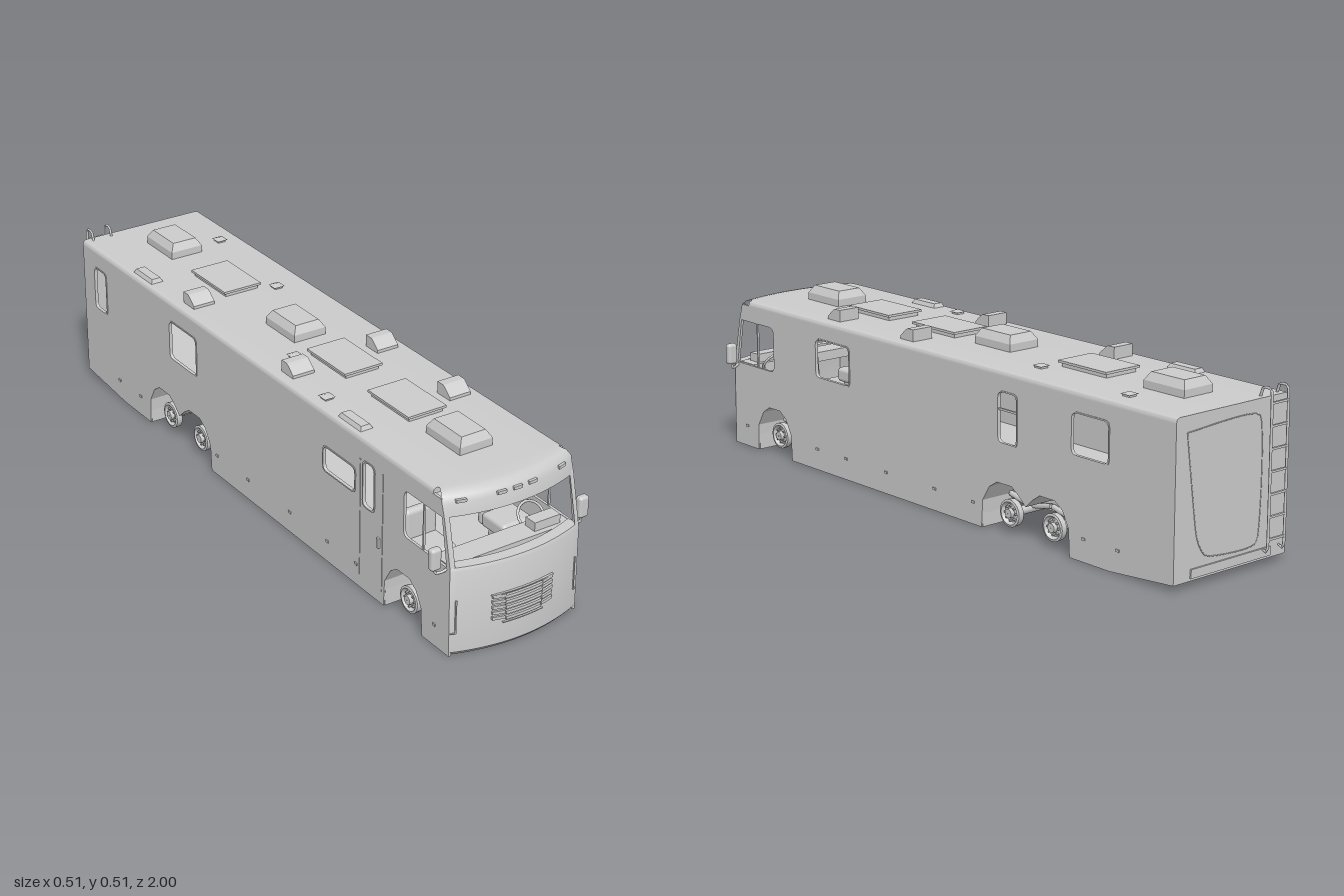
import * as THREE from 'three';
import { toCreasedNormals } from 'three/addons/utils/BufferGeometryUtils.js';
import { RoundedBoxGeometry } from 'three/addons/geometries/RoundedBoxGeometry.js';

const mat = new THREE.MeshStandardMaterial({ color: 0xcccccc, side: THREE.DoubleSide });
const HALF = 0.21, BACK = -0.975, ROOF = 0.465, FLOOR = 0.15;
const AXLES = [0.748, -0.32, -0.495];
const bow = x => 0.04 * (x / HALF) ** 2;

export function createModel() {
  const root = new THREE.Group();
  const add = (name, geo, x = 0, y = 0, z = 0) => {
    const m = new THREE.Mesh(geo, mat);
    m.name = name;
    m.position.set(x, y, z);
    root.add(m);
    return m;
  };
  const box = (name, w, h, d, x, y, z) => add(name, new THREE.BoxGeometry(w, h, d), x, y, z);
  const shapeOf = pts => new THREE.Shape(pts.map(p => new THREE.Vector2(...p)));
  const extrude = (shape, depth) => new THREE.ExtrudeGeometry(shape, { depth, bevelEnabled: false, curveSegments: 5 });
  // Extrudes a (z, y) outline across x, starting at x0
  const across = (shape, x0, w) => extrude(shape, w).rotateY(-Math.PI / 2).translate(x0 + w, 0, 0);
  const tube = (name, pts, r, seg = 16) => add(name, new THREE.TubeGeometry(
    new THREE.CatmullRomCurve3(pts.map(p => new THREE.Vector3(...p)), false, 'catmullrom', 0.2), seg, r, 6));

  // Rounded window opening
  const windowHole = (z0, z1, y0, y1, r = 0.018) => {
    const p = new THREE.Path();
    p.moveTo(z0 + r, y0).lineTo(z1 - r, y0).quadraticCurveTo(z1, y0, z1, y0 + r);
    p.lineTo(z1, y1 - r).quadraticCurveTo(z1, y1, z1 - r, y1).lineTo(z0 + r, y1);
    p.quadraticCurveTo(z0, y1, z0, y1 - r).lineTo(z0, y0 + r).quadraticCurveTo(z0, y0, z0 + r, y0);
    return p;
  };
  const cabHole = () => {
    const p = new THREE.Path();
    p.moveTo(0.765, 0.262).lineTo(0.935, 0.262).lineTo(0.91, 0.4).lineTo(0.765, 0.4);
    p.quadraticCurveTo(0.745, 0.4, 0.745, 0.38).lineTo(0.745, 0.282).quadraticCurveTo(0.745, 0.262, 0.765, 0.262);
    return p;
  };

  // Side walls with wheel arches and windows
  const frontArch = [[0.66, 0], [0.664, 0.08], [0.69, 0.125], [0.72, 0.145], [0.775, 0.145], [0.805, 0.125], [0.831, 0.08], [0.835, 0]];
  const rearArch = [[-0.585, 0], [-0.58, 0.08], [-0.555, 0.125], [-0.525, 0.145], [-0.465, 0.145], [-0.435, 0.125], [-0.408, 0.1],
    [-0.38, 0.125], [-0.35, 0.145], [-0.29, 0.145], [-0.258, 0.125], [-0.23, 0.08], [-0.225, 0]];
  const outline = [[BACK, 0.02], [-0.74, 0], ...rearArch, ...frontArch,
    [0.955, 0], [0.95, 0.265], [0.92, 0.4], [0.905, 0.45], [BACK, 0.45]];
  const openings = {
    leftWall: [[0.37, 0.53, 0.29, 0.405], [-0.37, -0.295, 0.262, 0.405], [-0.73, -0.59, 0.29, 0.405]],
    rightWall: [[0.37, 0.52, 0.285, 0.358], [0.56, 0.61, 0.265, 0.4], [-0.45, -0.3, 0.28, 0.4], [-0.905, -0.835, 0.265, 0.4]],
  };
  for (const [name, list] of Object.entries(openings)) {
    const s = shapeOf(outline);
    s.holes.push(cabHole(), ...list.map(w => windowHole(...w)));
    add(name, across(s, name === 'leftWall' ? HALF - 0.008 : -HALF, 0.008));
    // Slim frame standing proud around each window
    for (const [z0, z1, y0, y1] of list) {
      const f = new THREE.Shape(windowHole(z0 - 0.004, z1 + 0.004, y0 - 0.004, y1 + 0.004).getPoints(4));
      f.holes.push(windowHole(z0, z1, y0, y1));
      add('windowFrame', across(f, name === 'leftWall' ? HALF - 0.004 : -HALF - 0.002, 0.006));
    }
  }
  box('windowBar', 0.006, 0.006, 0.075, 0.206, 0.355, -0.333);
  box('cabWindowBar', 0.006, 0.14, 0.005, 0.206, 0.33, 0.83);
  box('cabWindowBar', 0.006, 0.14, 0.005, -0.206, 0.33, 0.83);

  // Roof with rounded long edges
  const roof = new THREE.Shape();
  roof.moveTo(-HALF, 0.448).lineTo(HALF, 0.448).lineTo(HALF, 0.45).quadraticCurveTo(HALF, ROOF, 0.195, ROOF);
  roof.lineTo(-0.195, ROOF).quadraticCurveTo(-HALF, ROOF, -HALF, 0.45);
  add('roof', toCreasedNormals(extrude(roof, 0.87 - BACK), 0.6), 0, 0, BACK);

  // Bowed front skin: rows of [y, z at centre, half width, bow factor]
  const skin = (name, rows, u0, u1, n) => {
    const pos = [], idx = [];
    rows.forEach(([y, z, hw, k], i) => {
      for (let j = 0; j <= n; j++) {
        const x = hw * (u0 + (u1 - u0) * j / n);
        pos.push(x, y, z - k * bow(x));
        if (i && j) {
          const c = i * (n + 1) + j, d = c - n - 1;
          idx.push(d - 1, d, c, d - 1, c, c - 1);
        }
      }
    });
    const g = new THREE.BufferGeometry();
    g.setAttribute('position', new THREE.Float32BufferAttribute(pos, 3));
    g.setIndex(idx);
    add(name, toCreasedNormals(g, 0.6));
  };
  skin('frontPanel', [[0.006, 0.96, 0.2, 1], [0, 0.985, HALF, 1], [0.012, 0.995, HALF, 1], [0.255, 0.993, HALF, 1], [0.265, 0.988, HALF, 1], [0.266, 0.955, 0.2, 1]], -1, 1, 20);
  for (const s of [-1, 1]) skin('windshieldPillar', [[0.264, 0.988, HALF, 1], [0.4, 0.957, HALF, 1]], s > 0 ? 0.93 : -1, s > 0 ? 1 : -0.93, 2);
  skin('frontHeader', [[0.4, 0.94, 0.205, 1], [0.4, 0.957, HALF, 1], [0.435, 0.95, HALF, 1], [0.452, 0.942, 0.209, 1], [0.462, 0.928, 0.203, 0.95], [ROOF, 0.91, 0.196, 0.9], [ROOF, 0.865, 0.195, 0]], -1, 1, 20);

  // Strips that follow the bow of the front
  const strip = (name, w, h, d, x, y, z) => {
    const g = new THREE.BoxGeometry(w, h, d, 8, 1, 1).translate(x, y, z);
    const p = g.attributes.position;
    for (let i = 0; i < p.count; i++) p.setZ(i, p.getZ(i) - bow(p.getX(i)));
    return add(name, g);
  };
  for (let i = 0; i < 5; i++) {
    const y = 0.158 - i * 0.0165;
    for (const s of [-1, 1]) {
      const outer = strip('grilleSlatEnd', 0.038, 0.009, 0.008, s * 0.079, y, 0.996);
      outer.geometry.applyMatrix4(new THREE.Matrix4().makeShear(s * 0.1, 0, 0, 0, 0, 0)).translate(0, -0.006, 0);
    }
    strip('grilleSlat', 0.122 - i * 0.002, 0.009, 0.01, 0, y - 0.004, 0.996);
  }
  strip('grilleTopTrim', 0.2, 0.003, 0.008, 0, 0.166, 0.996);
  strip('grilleLowerTrim', 0.13, 0.003, 0.008, 0, 0.076, 0.996);
  for (const x of [-0.163, -0.05, 0, 0.05, 0.163]) strip('markerLight', 0.027, 0.009, 0.008, x, 0.441, 0.95);
  for (const s of [-1, 1]) {
    strip('lampEdgeTrim', 0.003, 0.1, 0.004, s * 0.195, 0.12, 0.996);
    strip('lampBaseTrim', 0.014, 0.003, 0.004, s * 0.201, 0.07, 0.996);
  }

  // Mirrors on bent arms
  for (const s of [-1, 1]) {
    add('mirror', new RoundedBoxGeometry(0.033, 0.064, 0.024, 3, 0.009), s * 0.241, 0.294, 0.925);
    tube('mirrorArm', [[s * 0.205, 0.258, 0.935], [s * 0.222, 0.25, 0.93], [s * 0.238, 0.25, 0.925], [s * 0.241, 0.27, 0.925]], 0.004);
  }

  // Rear wall with service panel seams and lamps
  box('rearWall', 0.418, 0.43, 0.008, 0, 0.235, BACK + 0.004);
  tube('rearPanelSeam', [[0.17, 0.42, BACK], [0.13, 0.14, BACK], [0.09, 0.075, BACK], [-0.1, 0.075, BACK], [-0.1, 0.42, BACK], [0.17, 0.42, BACK]], 0.0015, 60);
  box('rearBumper', 0.3, 0.025, 0.006, 0, 0.04, BACK - 0.002);

  // Ladder hooked over the roof edge
  for (const x of [-0.183, -0.12])
    tube('ladderRail', [[x, 0.05, -0.978], [x, 0.06, -0.996], [x, 0.47, -0.996], [x, 0.49, -0.985], [x, 0.49, -0.965], [x, 0.463, -0.955]], 0.004, 40);
  for (let i = 0; i < 7; i++) box('ladderRung', 0.063, 0.006, 0.007, -0.1515, 0.08 + i * 0.062, -0.996);

  // Roof air conditioners: tapered housings on a base
  const tapered = (w, h, d, k) => {
    const g = new THREE.BoxGeometry(w, h, d), p = g.attributes.position;
    for (let i = 0; i < p.count; i++) if (p.getY(i) > 0) p.setXYZ(i, p.getX(i) - Math.sign(p.getX(i)) * k, p.getY(i), p.getZ(i) - Math.sign(p.getZ(i)) * k);
    g.computeVertexNormals();
    return g;
  };
  for (const z of [-0.772, -0.09, 0.697]) {
    box('airConditionerBase', 0.106, 0.022, 0.15, 0, 0.476, z);
    add('airConditioner', tapered(0.106, 0.023, 0.15, 0.014), 0, 0.4985, z);
  }
  // Raised hatches
  for (const z of [-0.47, 0.16, 0.46]) {
    box('hatchCurb', 0.11, 0.012, 0.175, 0, 0.47, z);
    box('hatchLid', 0.126, 0.007, 0.19, 0, 0.48, z);
  }
  // Hooded roof vents
  const hood = shapeOf([[-0.028, ROOF], [0.03, ROOF], [0.03, 0.474], [0.006, 0.495], [-0.002, 0.5], [-0.028, 0.5]]);
  for (const [x, z] of [[-0.143, -0.39], [-0.143, 0.14], [0.141, 0.14], [0.141, 0.482]])
    add('ventHood', across(hood, -0.035, 0.07), x, 0, z);
  for (const z of [-0.63, 0.47]) add('refrigeratorVent', tapered(0.042, 0.014, 0.108, 0.007), -0.175, 0.47, z);
  for (const [x, z] of [[0.141, -0.735], [0.106, -0.355], [-0.1, 0.06], [-0.163, 0.315]]) {
    box('plumbingVent', 0.026, 0.007, 0.026, x, 0.468, z);
    add('plumbingVentCap', new THREE.ConeGeometry(0.025, 0.007, 4), x, 0.475, z).rotation.y = Math.PI / 4;
  }

  // Entry door trim, handles and small side lamps
  for (const z of [0.545, 0.65]) box('doorSeam', 0.003, 0.36, 0.003, -HALF, 0.22, z);
  box('doorHandle', 0.008, 0.03, 0.01, -0.212, 0.185, 0.635);
  for (const s of [-1, 1]) for (const z of [0.89, 0.53, 0.39, 0.2, -0.02, -0.19, -0.64, -0.77]) box('sideLamp', 0.004, 0.007, 0.012, s * 0.211, 0.065, z);

  // Floor and open storage bays
  box('floor', 0.405, 0.005, 1.9, 0, FLOOR, -0.02);
  for (const s of [-1, 1]) {
    for (const [z0, z1] of [[-0.225, 0.66], [-0.97, -0.585]]) box('bayInnerWall', 0.005, 0.125, z1 - z0, s * 0.1, 0.0875, (z0 + z1) / 2);
    for (const z of [-0.78, -0.585, -0.225, 0.07, 0.36, 0.66, 0.835]) box('bayDivider', 0.108, z < -0.7 ? 0.12 : 0.15, 0.005, s * 0.152, z < -0.7 ? 0.09 : 0.075, z);
    box('bayLip', 0.02, 0.004, 0.885, s * 0.197, 0.003, 0.2175);
    // Wheel well liners
    for (const arch of [frontArch, rearArch]) {
      const g = new THREE.BufferGeometry(), pos = [], idx = [];
      arch.forEach(([z, y], i) => {
        pos.push(s * 0.1, y, z, s * 0.208, y, z);
        if (i) idx.push(2 * i - 2, 2 * i - 1, 2 * i, 2 * i - 1, 2 * i + 1, 2 * i);
      });
      g.setAttribute('position', new THREE.Float32BufferAttribute(pos, 3));
      g.setIndex(idx);
      add('wheelWell', toCreasedNormals(g, 0.3));
      const a = arch[0][0], b = arch[arch.length - 1][0];
      box('wheelWellWall', 0.004, 0.085, b - a, s * 0.1, 0.1075, (a + b) / 2);
    }
    // Chassis rails
    box('chassisRail', 0.018, 0.045, 1.82, s * 0.07, 0.09, -0.03);
  }
  for (const z of [0.88, 0.6, 0.3, 0.02, -0.2, -0.41, -0.62, -0.9]) box('crossMember', 0.14, 0.03, 0.02, 0, 0.09, z);

  // Axles, hubs and leaf springs
  const hub = [[0.006, -0.012], [0.03, -0.012], [0.039, -0.006], [0.04, 0.012], [0.033, 0.014], [0.026, 0.004], [0.014, 0.006], [0.013, 0.018], [0.001, 0.018]].map(p => new THREE.Vector2(...p));
  AXLES.forEach((z, i) => {
    add('axle', new THREE.CylinderGeometry(0.013, 0.013, 0.36, 12).rotateZ(Math.PI / 2), 0, 0.058, z);
    if (i === 1) add('differential', new THREE.SphereGeometry(0.035, 14, 10), 0, 0.058, z);
    for (const s of [-1, 1]) {
      add('wheelHub', toCreasedNormals(new THREE.LatheGeometry(hub, 20), 0.6).rotateZ(-s * Math.PI / 2), s * 0.178, 0.058, z);
      for (let k = 0; k < 8; k++) {
        const a = k * Math.PI / 4;
        add('wheelStud', new THREE.CylinderGeometry(0.003, 0.003, 0.012, 6).rotateZ(Math.PI / 2), s * 0.184, 0.058 + 0.021 * Math.sin(a), z + 0.021 * Math.cos(a));
      }
      tube('leafSpring', [[s * 0.11, 0.082, z - 0.085], [s * 0.11, 0.066, z], [s * 0.11, 0.082, z + 0.085]], 0.008);
      add('shockAbsorber', new THREE.CylinderGeometry(0.008, 0.008, 0.08, 8), s * 0.088, 0.09, z + 0.035);
    }
  });
  add('driveShaft', new THREE.CylinderGeometry(0.009, 0.009, 0.75, 10).rotateX(Math.PI / 2), 0, 0.065, 0.05);
  box('engine', 0.09, 0.06, 0.16, 0, 0.09, 0.52);

  // Cab: dashboard, seats and steering wheel
  box('dashboard', 0.4, 0.03, 0.07, 0, 0.248, 0.9);
  box('instrumentHood', 0.085, 0.028, 0.04, 0.13, 0.275, 0.9);
  for (const x of [-0.128, 0.128]) {
    add('seatCushion', new RoundedBoxGeometry(0.105, 0.045, 0.1, 3, 0.012), x, 0.2, 0.755);
    add('seatBack', new RoundedBoxGeometry(0.105, 0.13, 0.03, 3, 0.014), x, 0.242, 0.7);
    box('seatBase', 0.07, 0.04, 0.07, x, 0.168, 0.755);
  }
  add('steeringWheel', new THREE.TorusGeometry(0.04, 0.004, 6, 20), 0.13, 0.265, 0.85).rotation.x = -0.7;
  return root;
}
